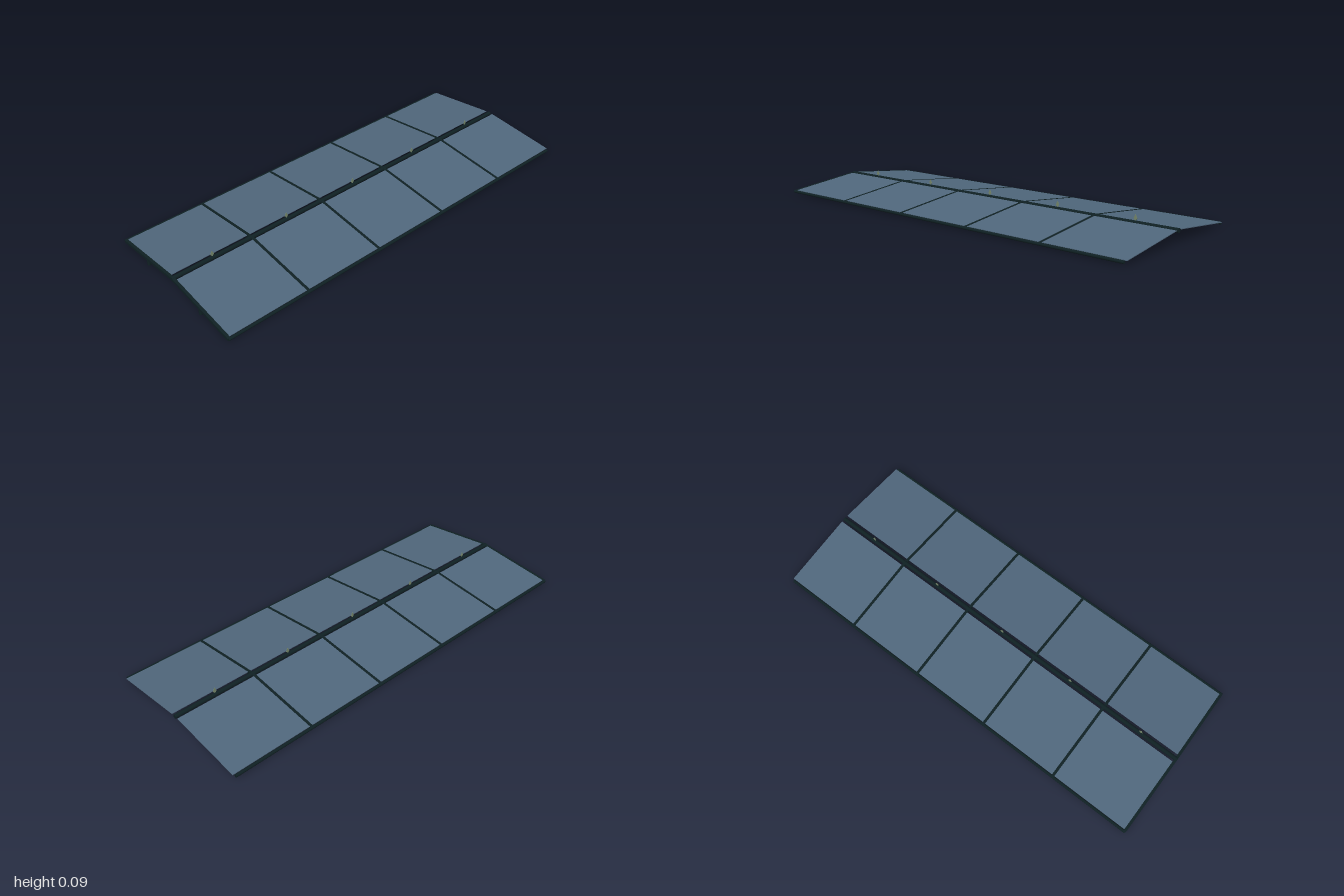
import * as THREE from 'three';

const EAVE = { y: 0.011, z: 0.398 };
const RIDGE_Y = 0.055;
const BAY = 0.398;

export function createModel() {
  const group = new THREE.Group();
  group.name = 'glassCanopy';
  const iron = new THREE.MeshStandardMaterial({ name: 'darkIron', color: 0x0f2023 });
  const glass = new THREE.MeshStandardMaterial({ name: 'blueGreyGlass', color: 0x50677c });
  const bronze = new THREE.MeshStandardMaterial({ name: 'agedBronze', color: 0x75866a });

  const add = (parent, name, geometry, material, x, y, z) => {
    const mesh = new THREE.Mesh(geometry, material);
    mesh.name = name;
    mesh.position.set(x, y, z);
    parent.add(mesh);
    return mesh;
  };

  // Round bars along the ridge and both eaves
  const bar = (r, length) => new THREE.CylinderGeometry(r, r, length, 12).rotateZ(Math.PI / 2);
  add(group, 'ridgeBar', bar(0.01, 1.995), iron, 0, RIDGE_Y, 0);
  for (const side of [1, -1]) {
    add(group, side > 0 ? 'frontEave' : 'backEave', bar(0.007, 1.985), iron, -0.003, EAVE.y, side * EAVE.z);
  }

  // Two mirrored slopes: local z runs from ridge to eave
  const rise = RIDGE_Y - EAVE.y;
  const length = Math.hypot(rise, EAVE.z);
  const slopeAngle = Math.atan2(rise, EAVE.z);
  for (const side of [1, -1]) {
    const slope = new THREE.Group();
    slope.name = side > 0 ? 'frontSlope' : 'backSlope';
    slope.position.set(0, RIDGE_Y, 0);
    slope.rotation.x = side * slopeAngle;
    group.add(slope);

    for (let i = 0; i < 5; i++) {
      const x = -0.992 + i * BAY;
      // Rafter, standing just proud of the glass
      add(slope, 'rafter', new THREE.BoxGeometry(0.013, 0.014, length), iron, x, 0, side * length / 2);
      // Glass pane, with a narrow gap at the ridge
      add(slope, 'glassPane', new THREE.BoxGeometry(BAY - 0.001, 0.003, 0.373), glass,
        x + BAY / 2, 0.0048, side * 0.2065);
      // Short post below the rafter
      add(group, 'post', new THREE.CylinderGeometry(0.008, 0.008, 0.032, 10), iron, x, 0.016, side * 0.2);
    }
  }

  // Thin leaf-shaped finials over the middle of each bay
  const leaf = new THREE.Shape();
  leaf.moveTo(0, 0);
  leaf.lineTo(0.009, 0.011);
  leaf.lineTo(0, 0.029);
  leaf.lineTo(-0.009, 0.011);
  leaf.closePath();
  const leafGeometry = new THREE.ExtrudeGeometry(leaf, { depth: 0.002, bevelEnabled: false }).translate(0, 0, -0.001);
  for (let i = -2; i <= 2; i++) {
    add(group, 'finial', leafGeometry, bronze, i * BAY, 0.063, 0);
  }
  return group;
}
